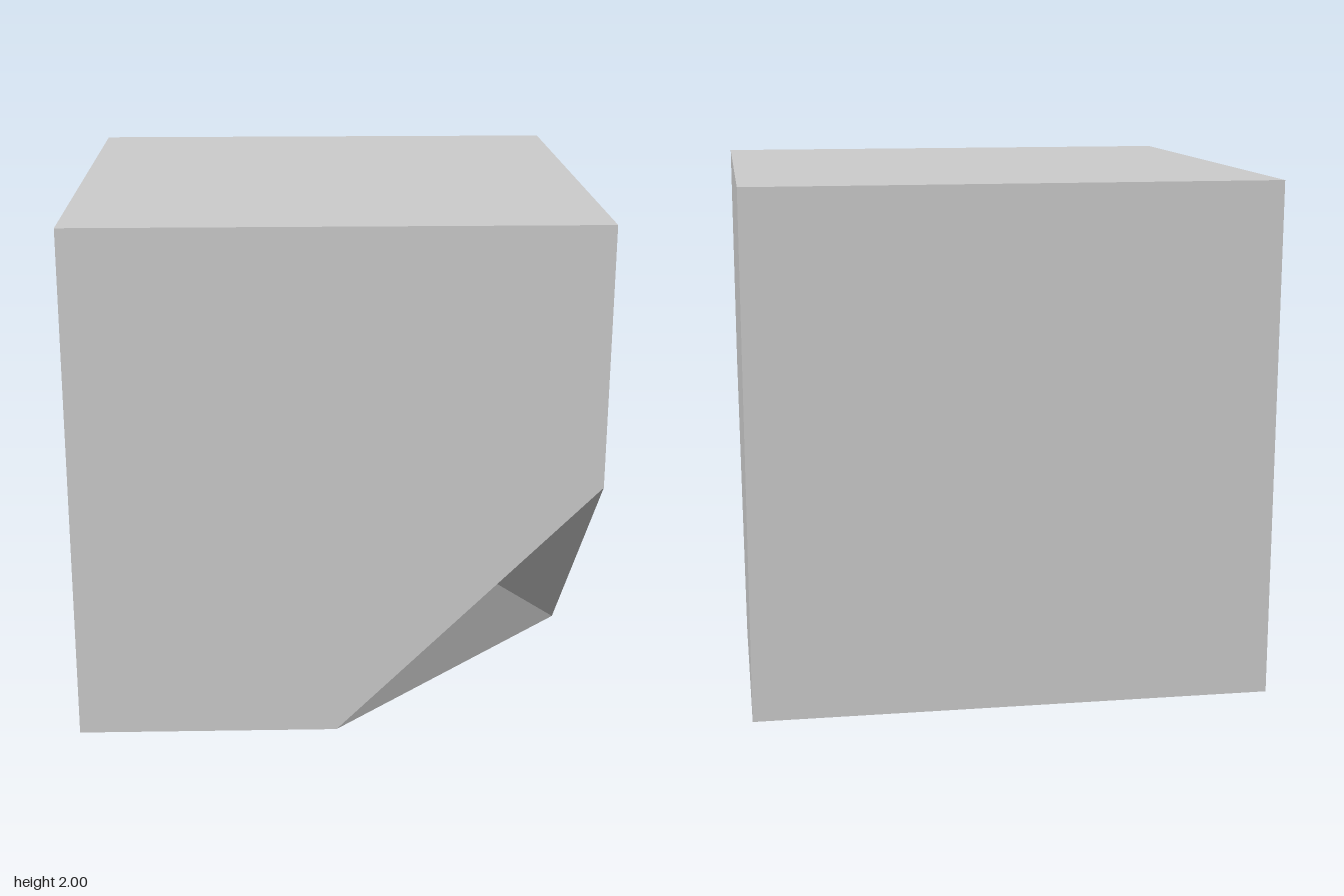
import * as THREE from 'three';

// Flat mesh from convex polygons, each listed counter-clockwise from outside
function polygonMesh(name, polygons, material) {
  const positions = [];
  for (const corners of polygons) {
    for (let i = 1; i < corners.length - 1; i++) {
      positions.push(...corners[0], ...corners[i], ...corners[i + 1]);
    }
  }
  const geometry = new THREE.BufferGeometry();
  geometry.setAttribute('position', new THREE.Float32BufferAttribute(positions, 3));
  geometry.computeVertexNormals();
  const mesh = new THREE.Mesh(geometry, material);
  mesh.name = name;
  return mesh;
}

export function createModel() {
  const group = new THREE.Group();
  group.name = 'notchedCube';
  const material = new THREE.MeshStandardMaterial({ color: 0xcccccc, flatShading: true });

  // Cube corners: l/r = -x/+x, b/t = bottom/top, k/f = back/front
  const lbk = [-1, 0, -1], rbk = [1, 0, -1], lbf = [-1, 0, 1];
  const ltk = [-1, 2, -1], rtk = [1, 2, -1], ltf = [-1, 2, 1], rtf = [1, 2, 1];

  // Notch: midpoints of the three edges at the missing corner, and its inner apex
  const frontMid = [0, 0, 1], sideMid = [1, 0, 0], uprightMid = [1, 1, 1];
  const apex = [0.5, 0.5, 0.5];

  group.add(polygonMesh('cubeBody', [
    [ltf, rtf, rtk, ltk],                    // top
    [rbk, lbk, ltk, rtk],                    // back
    [lbk, lbf, ltf, ltk],                    // -x side
    [lbf, frontMid, uprightMid, rtf, ltf],   // front
    [sideMid, rbk, rtk, rtf, uprightMid],    // +x side
    [lbk, rbk, sideMid, frontMid, lbf],      // bottom
  ], material));

  // Three faces running inwards to the apex
  const rim = [frontMid, sideMid, uprightMid];
  group.add(polygonMesh('cornerNotch',
    rim.map((corner, i) => [corner, rim[(i + 1) % 3], apex]), material));

  return group;
}
